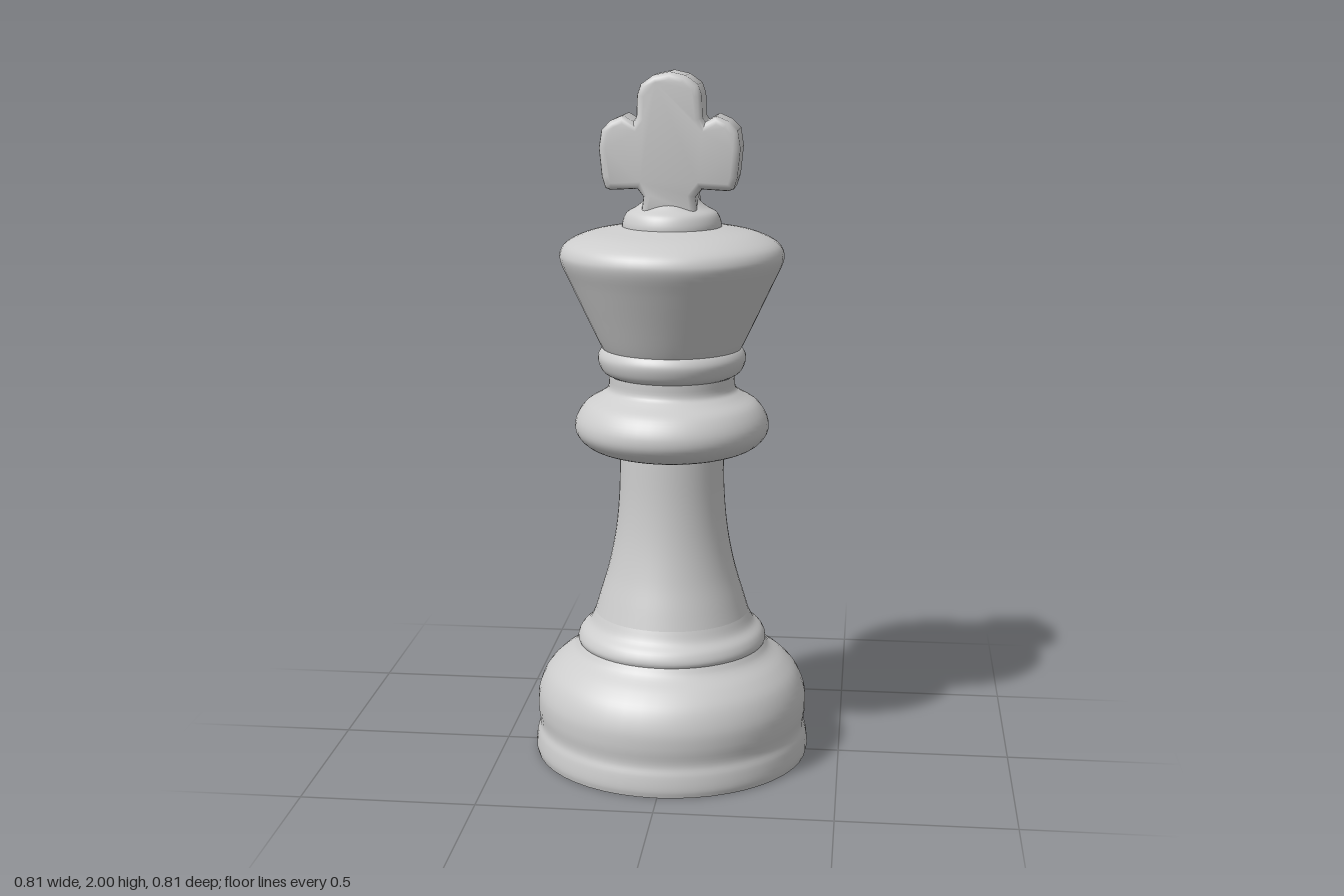
import * as THREE from 'three';
import { toCreasedNormals } from 'three/addons/utils/BufferGeometryUtils.js';

const stone = new THREE.MeshStandardMaterial({ color: 0xcccccc });
stone.name = 'light grey';

// Smooth turned part from [radius, height] points, bottom to top
function turned(name, points) {
  const curve = new THREE.CatmullRomCurve3(points.map(([r, y]) => new THREE.Vector3(r, y, 0)));
  const profile = curve.getPoints(points.length * 4).map((p) => new THREE.Vector2(Math.max(p.x, 0), p.y));
  const mesh = new THREE.Mesh(new THREE.LatheGeometry(profile, 48), stone);
  mesh.name = name;
  return mesh;
}

// Cross with flared arms and a low peaked top, mirrored about x = 0
function cross() {
  const half = [
    [0.045, 1.99], [0.08, 1.965], [0.09, 1.935], [0.092, 1.875], [0.1, 1.863],
    [0.13, 1.88], [0.165, 1.865], [0.19, 1.84], [0.198, 1.79], [0.19, 1.71],
    [0.18, 1.678], [0.165, 1.673], [0.09, 1.677], [0.073, 1.655], [0.08, 1.6],
  ];
  const outline = [[0, 2], ...half, ...half.map(([x, y]) => [-x, y]).reverse()];
  const shape = new THREE.Shape(outline.map(([x, y]) => new THREE.Vector2(x, y)));
  const bevel = 0.02;
  const depth = 0.173 - 2 * bevel;
  const geometry = new THREE.ExtrudeGeometry(shape, {
    depth, bevelEnabled: true, bevelThickness: bevel, bevelSize: bevel,
    bevelOffset: -bevel, bevelSegments: 3,
  });
  geometry.translate(0, 0, -depth / 2);
  geometry.deleteAttribute('uv');
  const mesh = new THREE.Mesh(toCreasedNormals(geometry, 0.8), stone);
  mesh.name = 'cross';
  return mesh;
}

export function createModel() {
  const group = new THREE.Group();
  group.name = 'chessKing';

  // Flat underside
  const underside = new THREE.Mesh(new THREE.CircleGeometry(0.402, 48), stone);
  underside.name = 'underside';
  underside.rotation.x = Math.PI / 2;

  group.add(
    underside,
    turned('base', [
      [0.402, 0], [0.406, 0.02], [0.402, 0.06], [0.394, 0.09], [0.399, 0.14], [0.396, 0.19],
      [0.373, 0.245], [0.335, 0.285], [0.29, 0.318], [0.274, 0.34],
    ]),
    turned('baseRing', [[0.272, 0.332], [0.278, 0.35], [0.268, 0.375], [0.242, 0.4], [0.225, 0.435]]),
    turned('stem', [
      [0.23, 0.42], [0.212, 0.48], [0.188, 0.56], [0.167, 0.66], [0.155, 0.77], [0.15, 0.93],
    ]),
    // Rounded collar with a narrow neck above
    turned('collar', [
      [0.13, 0.905], [0.2, 0.917], [0.25, 0.938], [0.278, 0.972], [0.278, 1.01],
      [0.25, 1.055], [0.205, 1.083], [0.185, 1.1], [0.182, 1.14],
    ]),
    turned('neckRing', [[0.17, 1.135], [0.198, 1.15], [0.21, 1.172], [0.213, 1.195], [0.203, 1.215], [0.19, 1.225]]),
    turned('crown', [
      [0.19, 1.2], [0.207, 1.23], [0.25, 1.32], [0.292, 1.41], [0.318, 1.468], [0.32, 1.49],
      [0.306, 1.516], [0.255, 1.543], [0.18, 1.56], [0.09, 1.572], [0, 1.575],
    ]),
    turned('crossFoot', [
      [0.142, 1.555], [0.14, 1.58], [0.128, 1.605], [0.1, 1.622], [0.08, 1.64], [0.073, 1.66], [0.07, 1.7],
    ]),
    cross(),
  );
  return group;
}
